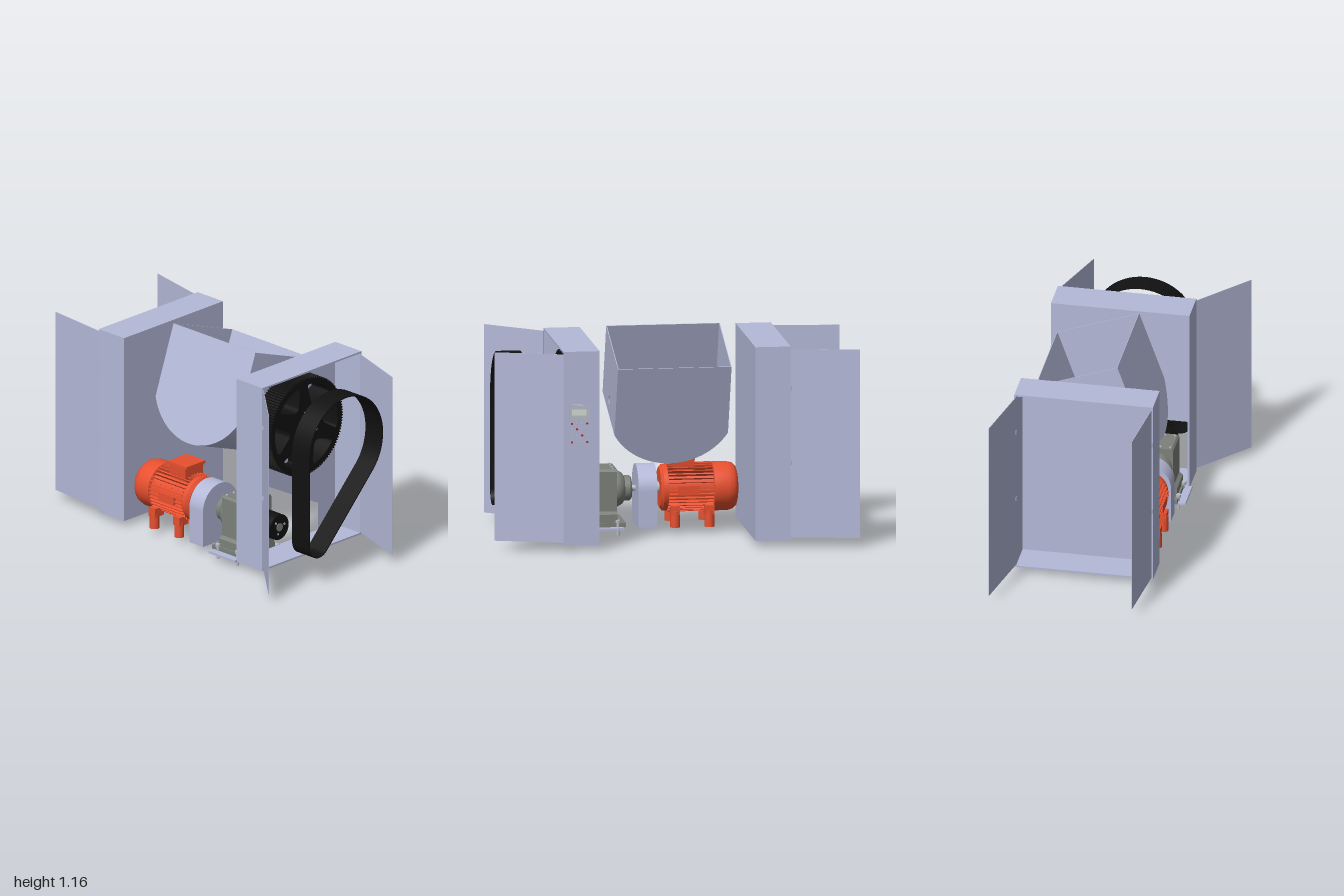
import * as THREE from 'three';
import { toCreasedNormals } from 'three/addons/utils/BufferGeometryUtils.js';

const mat = (color) => new THREE.MeshStandardMaterial({ color });
const SHEET = mat(0xb4b9d8), RED = mat(0xe8502f), IRON = mat(0x7d817a), BLACK = mat(0x111111);
const STEEL = mat(0xb8bcc4), SCREEN = mat(0xd4dcd4), BUTTON_RED = mat(0xc02828);
const AX = -0.137, AY = 0.24; // drive axis

function add(parent, name, geometry, material) {
  const m = new THREE.Mesh(geometry, material);
  m.name = name;
  parent.add(m);
  return m;
}

// box from its extents
function box(parent, name, material, x0, x1, y0, y1, z0, z1) {
  const m = add(parent, name, new THREE.BoxGeometry(x1 - x0, y1 - y0, z1 - z0), material);
  m.position.set((x0 + x1) / 2, (y0 + y1) / 2, (z0 + z1) / 2);
  return m;
}

// cylinder along z (or y when upright)
function rod(parent, name, material, r, x, y, z, len, upright = false, sides = 24) {
  const m = add(parent, name, new THREE.CylinderGeometry(r, r, len, sides), material);
  if (!upright) m.rotation.x = Math.PI / 2;
  m.position.set(x, y, z);
  return m;
}

// turned part on the drive axis, profile of [radius, z] with rising z
function turned(parent, name, material, profile) {
  const g = new THREE.LatheGeometry(profile.map(([r, z]) => new THREE.Vector2(r, z)), 40);
  const m = add(parent, name, toCreasedNormals(g, 0.6), material);
  m.rotation.x = Math.PI / 2;
  m.position.set(AX, AY, 0);
  return m;
}

const poly = (pts) => new THREE.Shape(pts.map(([x, y]) => new THREE.Vector2(x, y)));

function extrude(shape, depth, z = 0) {
  const g = new THREE.ExtrudeGeometry(shape, { depth, bevelEnabled: false, curveSegments: 32 });
  return toCreasedNormals(g.translate(0, 0, z), 0.5);
}

// open cabinet; inner and outer are the z of the closed and the open side
function cabinet(name, inner, outer, panel, doors) {
  const g = new THREE.Group();
  g.name = name;
  const z0 = Math.min(inner, outer), z1 = Math.max(inner, outer), t = 0.01, s = Math.sign(outer);
  box(g, 'cabinetTop', SHEET, -0.3, 0.475, 1.115 - t, 1.115, z0, z1);
  box(g, 'cabinetFloor', SHEET, -0.3, 0.475, 0.035, 0.035 + t, z0, z1);
  box(g, 'cabinetSide', SHEET, -0.3, -0.3 + t, 0.035, 1.115, z0, z1);
  box(g, 'cabinetSide', SHEET, 0.475 - t, 0.475, 0.035, 1.115, z0, z1);
  add(g, 'cabinetPanel', extrude(poly(panel), 0.005, s > 0 ? z0 : z1 - 0.005), SHEET);
  for (const [xa, xb, zb] of doors) {
    const dx = xb - xa, dz = zb - outer;
    const d = add(g, 'door', new THREE.BoxGeometry(Math.hypot(dx, dz), 1.05, 0.003), SHEET);
    d.position.set((xa + xb) / 2, 0.575, (outer + zb) / 2);
    d.rotation.y = -Math.atan2(dz, dx);
    for (const y of [0.465, 0.88]) rod(g, 'hinge', SHEET, 0.006, xa, y, outer, 0.025, true, 12);
  }
  return g;
}

// tilted trough with a round bottom
function hopper() {
  const g = new THREE.Group();
  g.name = 'hopper';
  const L = 0.489, w = 0.315, side = 0.415, t = 0.004, r = 0.36, cy = -0.241;
  const a = Math.atan2(-0.174, w);
  const alongX = (geo, x) => geo.rotateY(Math.PI / 2).translate(x, 0, 0.01);
  const end = poly([[w, 0], [-w, 0], [-w, -side]]);
  end.absarc(0, cy, r, Math.PI - a, Math.PI * 2 + a, false);
  for (const x of [0, L - t]) add(g, 'hopperEnd', alongX(extrude(end, t), x), SHEET);
  const bottom = new THREE.Shape();
  bottom.absarc(0, cy, r, Math.PI - a, Math.PI * 2 + a, false);
  bottom.absarc(0, cy, r - t, Math.PI * 2 + a, Math.PI - a, true);
  add(g, 'hopperBottom', alongX(extrude(bottom, L), 0), SHEET);
  const wall = poly([[0, 0], [0, -side], [L, -side], [L, 0]]);
  const hole = new THREE.Path();
  hole.absarc(L / 2, -0.331, 0.025, 0, Math.PI * 2);
  wall.holes.push(hole);
  for (const z of [-0.305, 0.325 - t]) add(g, 'hopperSide', extrude(wall, t, z), SHEET);
  g.position.set(-0.04, 1.165, 0);
  g.rotation.z = Math.atan2(-0.165, 0.46);
  return g;
}

// toothed wheel with six spokes
function gearWheel() {
  const g = new THREE.Group();
  g.name = 'gearWheel';
  const n = 112, pts = [];
  for (let i = 0; i < n; i++) {
    [[0, 0.277], [0.25, 0.286], [0.5, 0.286], [0.75, 0.277]].forEach(([f, r]) => {
      const a = ((i + f) / n) * Math.PI * 2;
      pts.push([r * Math.cos(a), r * Math.sin(a)]);
    });
  }
  const shape = poly(pts);
  const spoke = (95 * Math.PI) / 180;
  for (let i = 0; i < 6; i++) {
    const mid = spoke + ((i + 0.5) * Math.PI) / 3;
    const p = new THREE.Path();
    const at = (r, a) => [r * Math.cos(mid + a), r * Math.sin(mid + a)];
    p.moveTo(...at(0.14, -0.18));
    p.lineTo(...at(0.225, -0.38));
    p.quadraticCurveTo(...at(0.245, -0.4), ...at(0.245, -0.31));
    p.absarc(0, 0, 0.245, mid - 0.31, mid + 0.31, false);
    p.quadraticCurveTo(...at(0.245, 0.4), ...at(0.225, 0.38));
    p.lineTo(...at(0.14, 0.18));
    p.quadraticCurveTo(...at(0.118, 0), ...at(0.14, -0.18));
    shape.holes.push(p);
    if (i % 2 === 0) {
      const a = spoke + (i * Math.PI) / 3;
      rod(g, 'wheelBolt', STEEL, 0.012, 0.08 * Math.cos(a), 0.08 * Math.sin(a), 0.597, 0.01, false, 12);
    }
  }
  add(g, 'wheel', extrude(shape, 0.13, 0.47), BLACK);
  g.position.set(0.08, 0.772, 0);
  return g;
}

// flat belt around a large and a small circle
function belt() {
  const loop = (curve, t) => {
    const e = (-44 * Math.PI) / 180;
    curve.absarc(0.045, 0.76, 0.29 - t, e, Math.PI, false);
    curve.absarc(-0.165, 0.24, 0.08 - t, Math.PI, Math.PI * 2 + e, false);
    curve.closePath();
    return curve;
  };
  const shape = loop(new THREE.Shape(), 0);
  shape.holes.push(loop(new THREE.Path(), 0.006));
  return extrude(shape, 0.13, 0.81);
}

function motor() {
  const g = new THREE.Group();
  g.name = 'motor';
  turned(g, 'motorHousing', RED, [[0, -0.41], [0.085, -0.41], [0.11, -0.403], [0.127, -0.385], [0.135, -0.355],
    [0.135, -0.275], [0.117, -0.27], [0.117, -0.02], [0.128, -0.02], [0.128, 0.005], [0.11, 0.02], [0, 0.02]]);
  for (let i = 0; i < 36; i++) {
    const a = (i / 36) * Math.PI * 2;
    const f = add(g, 'coolingFin', new THREE.BoxGeometry(0.022, 0.005, 0.25), RED);
    f.position.set(AX + 0.125 * Math.cos(a), AY + 0.125 * Math.sin(a), -0.145);
    f.rotation.z = a;
  }
  // terminal box, slightly wider below its lid
  const b = poly([[-0.065, 0.34], [0.065, 0.34], [0.072, 0.42], [0.072, 0.435], [-0.072, 0.435], [-0.072, 0.42]]);
  add(g, 'terminalBox', extrude(b, 0.12, -0.17), RED).position.x = AX;
  box(g, 'terminalLid', RED, AX - 0.074, AX + 0.074, 0.42, 0.435, -0.182, -0.038);
  for (const s of [-1, 1]) {
    box(g, 'sidePlate', RED, AX + s * 0.13 - 0.007, AX + s * 0.13 + 0.007, 0.215, 0.265, -0.19, -0.075);
    for (const z of [-0.055, -0.245]) {
      rod(g, 'foot', RED, 0.027, AX + s * 0.113, 0.08, z, 0.09, true);
      box(g, 'footArm', RED, AX + s * 0.1 - 0.035, AX + s * 0.1 + 0.035, 0.105, 0.155, z - 0.025, z + 0.025);
    }
  }
  return g;
}

function gearbox() {
  const g = new THREE.Group();
  g.name = 'gearbox';
  const body = poly([[-0.125, 0.045], [0.125, 0.045], [0.125, 0.115], [0.105, 0.13], [0.105, 0.35], [0.095, 0.362],
    [-0.095, 0.362], [-0.105, 0.35], [-0.105, 0.13], [-0.125, 0.115]]);
  add(g, 'gearboxHousing', extrude(body, 0.175, 0.265), IRON).position.x = AX;
  box(g, 'gearboxFoot', IRON, AX - 0.135, AX + 0.135, 0.045, 0.07, 0.22, 0.44);
  box(g, 'frontRib', IRON, AX - 0.07, AX + 0.07, 0.05, 0.16, 0.43, 0.45);
  turned(g, 'inputFlange', IRON, [[0, 0.175], [0.06, 0.175], [0.07, 0.185], [0.07, 0.215], [0.085, 0.225], [0.1, 0.25], [0.1, 0.27]]);
  turned(g, 'outputBoss', IRON, [[0.09, 0.435], [0.09, 0.45], [0.06, 0.47], [0, 0.47]]);
  box(g, 'basePlate', SHEET, -0.315, 0.035, 0.035, 0.047, 0.235, 0.44);
  for (const x of [AX - 0.135, AX + 0.135]) for (const z of [0.265, 0.415]) {
    rod(g, 'anchorBolt', STEEL, 0.008, x, 0.04, z, 0.08, true, 12);
    rod(g, 'anchorNut', STEEL, 0.015, x, 0.078, z, 0.016, true, 6);
  }
  for (const x of [-0.085, -0.03, 0.03, 0.085]) for (const z of [0.285, 0.42])
    rod(g, 'lidBolt', STEEL, 0.007, AX + x, 0.364, z, 0.008, true, 6);
  return g;
}

function controlPanel() {
  const g = new THREE.Group();
  g.name = 'controlPanel';
  box(g, 'panelPlate', SHEET, 0.473, 0.482, 0.575, 0.82, 0.485, 0.61);
  box(g, 'displayFrame', STEEL, 0.478, 0.487, 0.735, 0.815, 0.49, 0.605);
  box(g, 'display', SCREEN, 0.48, 0.489, 0.762, 0.795, 0.51, 0.59);
  [0.715, 0.685, 0.65, 0.612].forEach((y, row) => {
    for (let i = 0; i < 4; i++) {
      const b = rod(g, 'button', (row + i) % 3 ? STEEL : BUTTON_RED, 0.006, 0.484, y, 0.505 + i * 0.028, 0.01, true, 12);
      b.rotation.z = Math.PI / 2;
    }
  });
  return g;
}

export function createModel() {
  const model = new THREE.Group();
  model.name = 'mixerMachine';
  // the front panel is cut away around the gearbox
  model.add(cabinet('frontCabinet', 0.435, 0.635, [[0.475, 0.035], [0.475, 1.115], [-0.3, 1.115], [-0.3, 0.45],
    [-0.13, 0.45], [0.335, 0.205], [0.335, 0.035]], [[-0.292, -0.55, 0.93], [0.467, 0.345, 1.0]]));
  model.add(cabinet('backCabinet', -0.43, -0.625, [[0.475, 0.035], [0.475, 1.115], [-0.3, 1.115], [-0.3, 0.035]],
    [[-0.292, -0.255, -1.0], [0.467, 0.545, -1.0]]));
  model.add(hopper(), gearWheel(), motor(), gearbox(), controlPanel());
  add(model, 'belt', belt(), BLACK);

  // drive pulley with its bolts
  rod(model, 'drivePulley', BLACK, 0.073, AX, AY, 0.54, 0.13, false, 48);
  rod(model, 'pulleyShaft', IRON, 0.023, AX, AY, 0.535, 0.15);
  for (let i = 0; i < 3; i++) {
    const a = 0.25 + (i * Math.PI * 2) / 3;
    rod(model, 'pulleyBolt', STEEL, 0.006, AX + 0.04 * Math.cos(a), AY + 0.04 * Math.sin(a), 0.605, 0.006, false, 12);
  }

  // arched coupling guard and the shaft through it
  const arch = poly([[-0.135, 0.035], [0.135, 0.035]]);
  arch.absarc(0, AY, 0.135, 0, Math.PI, false);
  add(model, 'couplingGuard', extrude(arch, 0.105, 0.045), SHEET).position.x = AX;
  rod(model, 'couplingShaft', STEEL, 0.016, AX, AY, 0.1, 0.17);
  rod(model, 'shaftCollar', STEEL, 0.03, AX, AY, 0.025, 0.02);
  return model;
}
